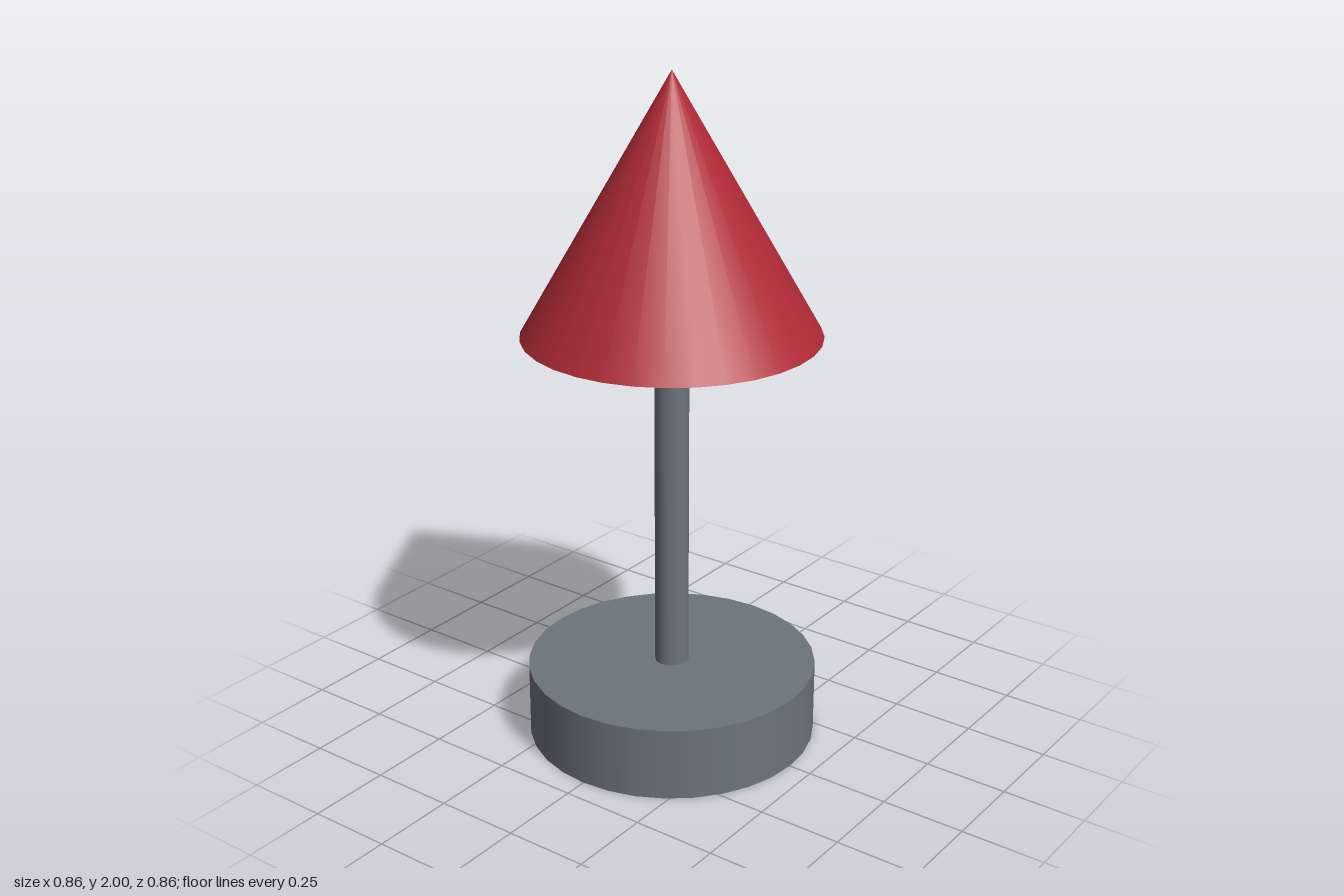
import * as THREE from 'three';

export function createModel() {
  const model = new THREE.Group();
  const red = new THREE.MeshStandardMaterial({ color: 0xb02a37 });
  red.name = 'red';
  const grey = new THREE.MeshStandardMaterial({ color: 0x6c757d });
  grey.name = 'slate grey';

  // Adds a round part standing between two heights
  function addPart(name, bottom, top, radiusBottom, radiusTop, material) {
    const geometry = new THREE.CylinderGeometry(radiusTop, radiusBottom, top - bottom, 32);
    const mesh = new THREE.Mesh(geometry, material);
    mesh.name = name;
    mesh.position.y = (bottom + top) / 2;
    model.add(mesh);
  }

  addPart('base', 0, 0.22, 0.43, 0.43, grey);
  addPart('pole', 0.22, 1.25, 0.05, 0.05, grey);
  addPart('coneTop', 1.25, 2, 0.43, 0, red);

  return model;
}
